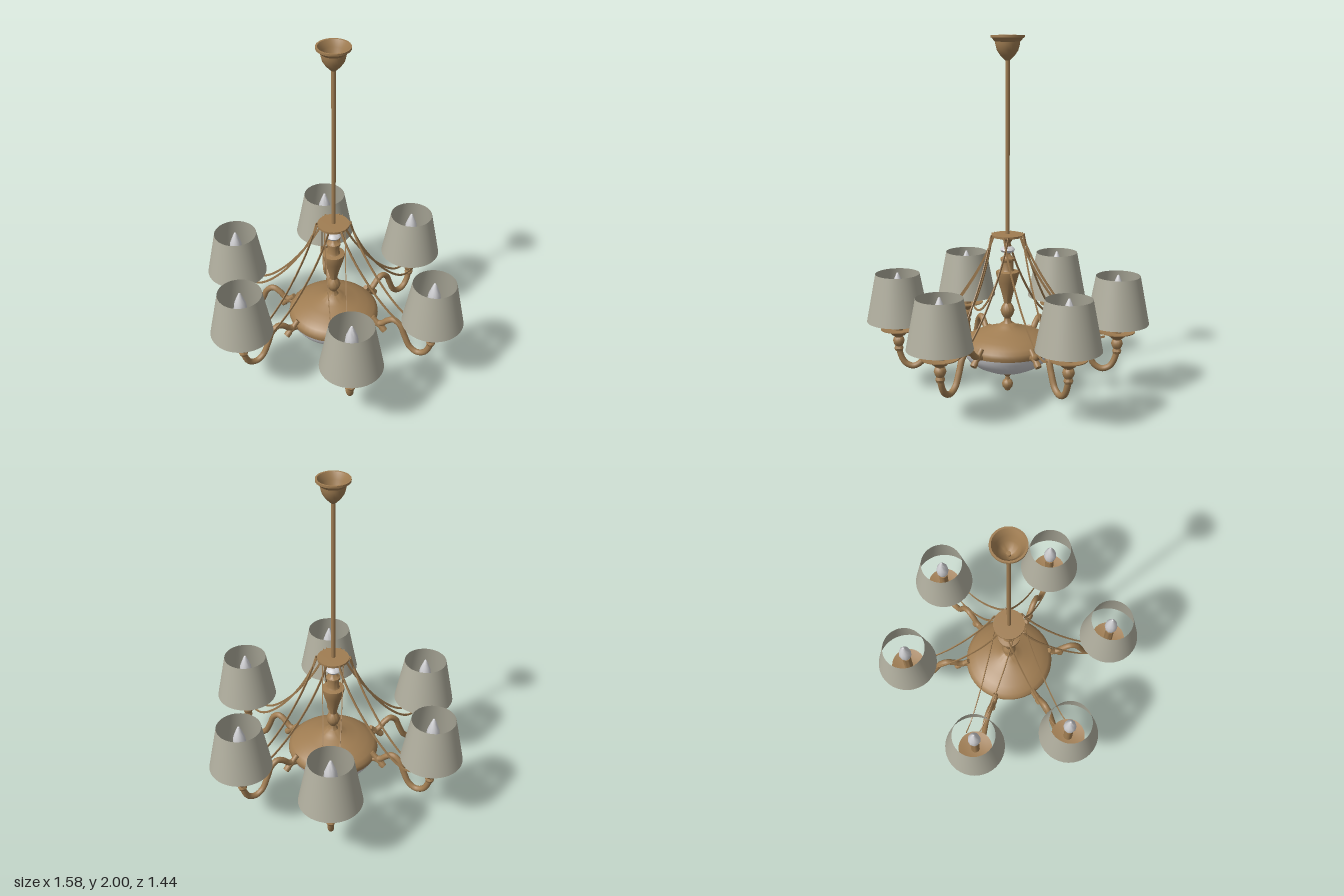
import * as THREE from 'three';
import { toCreasedNormals } from 'three/addons/utils/BufferGeometryUtils.js';

const brass = new THREE.MeshStandardMaterial({ color: 0xa07d52, side: THREE.DoubleSide });
brass.name = 'brass';
const fabric = new THREE.MeshStandardMaterial({ color: 0xb0ae9e, side: THREE.DoubleSide });
fabric.name = 'shade fabric';
const glass = new THREE.MeshStandardMaterial({ color: 0xcfcfd2 });
glass.name = 'frosted glass';

function add(parent, name, geometry, material) {
  const mesh = new THREE.Mesh(geometry, material);
  mesh.name = name;
  parent.add(mesh);
  return mesh;
}

// Turned part from [radius, y] pairs listed from bottom to top
function turned(parent, name, profile, material, sides = 32) {
  const points = profile.map(([r, y]) => new THREE.Vector2(r, y));
  return add(parent, name, toCreasedNormals(new THREE.LatheGeometry(points, sides), 0.7), material);
}

function path(points) {
  return new THREE.CatmullRomCurve3(points.map(([x, y]) => new THREE.Vector3(x, y, 0)));
}

// Flat strap that hangs from the top cap down to a drip pan
function strapGeometry() {
  const curve = path([[0.085, 0.91], [0.11, 0.84], [0.19, 0.68], [0.33, 0.48], [0.45, 0.365], [0.51, 0.338], [0.56, 0.345]]);
  const upper = [], lower = [];
  for (let i = 0; i <= 28; i++) {
    const p = curve.getPoint(i / 28), t = curve.getTangent(i / 28);
    upper.push(new THREE.Vector2(p.x - t.y * 0.006, p.y + t.x * 0.006));
    lower.unshift(new THREE.Vector2(p.x + t.y * 0.006, p.y - t.x * 0.006));
  }
  const geometry = new THREE.ExtrudeGeometry(new THREE.Shape([...upper, ...lower]), { depth: 0.005, bevelEnabled: false });
  return geometry.translate(-0.085, 0, -0.0025);
}

// One curved arm along +x with its candle, bulb and shade
function createArm() {
  const arm = new THREE.Group();
  arm.name = 'arm';
  const curve = path([[0.617, 0.29], [0.61, 0.22], [0.58, 0.162], [0.535, 0.145], [0.49, 0.17], [0.455, 0.24],
    [0.425, 0.31], [0.385, 0.337], [0.345, 0.318], [0.31, 0.285], [0.25, 0.265]]);
  add(arm, 'armTube', new THREE.TubeGeometry(curve, 56, 0.0175, 12), brass);

  // Angled peg where the arm meets the dome
  const peg = turned(arm, 'armPeg', [[0, -0.055], [0.018, -0.055], [0.02, -0.035], [0.015, -0.02], [0.02, 0],
    [0.015, 0.02], [0.015, 0.055], [0, 0.055]], brass, 16);
  peg.position.set(0.29, 0.272, 0);
  peg.rotation.z = 0.79;

  const lamp = new THREE.Group();
  lamp.name = 'lamp';
  lamp.position.x = 0.617;
  arm.add(lamp);
  turned(lamp, 'lampCollar', [[0, 0.235], [0.02, 0.235], [0.026, 0.25], [0.02, 0.265], [0.028, 0.278], [0.033, 0.295],
    [0.028, 0.312], [0.022, 0.318], [0.028, 0.326], [0.03, 0.335]], brass, 20);
  turned(lamp, 'dripPan', [[0, 0.325], [0.035, 0.328], [0.05, 0.342], [0.075, 0.356], [0.1, 0.363], [0.1, 0.368],
    [0.07, 0.362], [0, 0.355]], brass);
  turned(lamp, 'candle', [[0.026, 0.355], [0.026, 0.52], [0, 0.52]], brass, 20);
  turned(lamp, 'bulb', [[0.018, 0.52], [0.033, 0.55], [0.038, 0.58], [0.033, 0.62], [0.018, 0.66], [0.006, 0.688], [0, 0.692]], glass, 10);
  turned(lamp, 'shade', [[0.176, 0.414], [0.124, 0.685]], fabric, 40);
  return arm;
}

export function createModel() {
  const model = new THREE.Group();
  model.name = 'chandelier';
  const body = new THREE.Group();
  body.name = 'body';
  body.position.z = -0.008;
  model.add(body);

  // Ceiling canopy, open at the top, and the long rod
  turned(body, 'canopy', [[0.012, 1.865], [0.02, 1.872], [0.04, 1.893], [0.058, 1.92], [0.066, 1.95], [0.067, 1.965],
    [0.075, 1.972], [0.082, 1.982], [0.092, 1.988], [0.092, 2], [0.082, 2], [0.062, 1.965], [0.054, 1.925],
    [0.035, 1.895], [0.012, 1.88]], brass);
  const rod = add(body, 'rod', new THREE.CylinderGeometry(0.012, 0.012, 1.02, 16), brass);
  rod.position.y = 1.39;

  // Turned centre column
  turned(body, 'topCap', [[0, 0.865], [0.018, 0.865], [0.03, 0.885], [0.05, 0.897], [0.09, 0.9], [0.09, 0.912], [0, 0.914]], brass);
  turned(body, 'neck', [[0.016, 0.77], [0.016, 0.88]], brass, 16);
  turned(body, 'glassBead', [[0.015, 0.806], [0.034, 0.813], [0.042, 0.825], [0.034, 0.837], [0.015, 0.844]], glass, 24);
  turned(body, 'column', [[0.04, 0.39], [0.022, 0.41], [0.018, 0.43], [0.032, 0.45], [0.04, 0.475], [0.032, 0.5],
    [0.02, 0.517], [0.023, 0.535], [0.034, 0.58], [0.052, 0.64], [0.064, 0.685], [0.064, 0.7], [0.038, 0.705],
    [0.033, 0.715], [0.033, 0.758], [0.04, 0.764], [0.04, 0.776], [0.026, 0.783], [0.016, 0.8], [0, 0.8]], brass);

  // Dome, glass bowl and bottom finial
  turned(body, 'dome', [[0.245, 0.25], [0.258, 0.252], [0.263, 0.27], [0.26, 0.29], [0.24, 0.31], [0.2, 0.333], [0.145, 0.355],
    [0.085, 0.372], [0.055, 0.387], [0.035, 0.402], [0, 0.404]], brass, 48);
  turned(body, 'glassBowl', [[0, 0.116], [0.06, 0.12], [0.12, 0.135], [0.18, 0.163], [0.225, 0.197], [0.248, 0.23],
    [0.254, 0.256]], glass, 48);
  turned(body, 'finial', [[0, 0], [0.014, 0.003], [0.018, 0.012], [0.028, 0.024], [0.032, 0.042], [0.027, 0.058], [0.014, 0.068],
    [0.012, 0.085], [0.018, 0.092], [0.028, 0.1], [0.032, 0.112], [0.032, 0.122], [0, 0.124]], brass, 24);

  // Slightly uneven arms
  for (const degrees of [-5.2, 59.8, 116, 181.2, 234.7, 299.6]) {
    const arm = createArm();
    arm.rotation.y = -THREE.MathUtils.degToRad(degrees);
    body.add(arm);
  }

  // A pair of straps for each arm
  const strap = strapGeometry();
  for (let i = 0; i < 6; i++) {
    const pair = new THREE.Group();
    pair.name = 'strapPair';
    pair.rotation.y = -i * Math.PI / 3;
    for (const side of [-1, 1]) {
      const mesh = add(pair, 'strap', strap, brass);
      mesh.position.set(0.075, 0, side * 0.058);
      mesh.rotation.y = side * 0.05;
    }
    body.add(pair);
  }
  return model;
}
